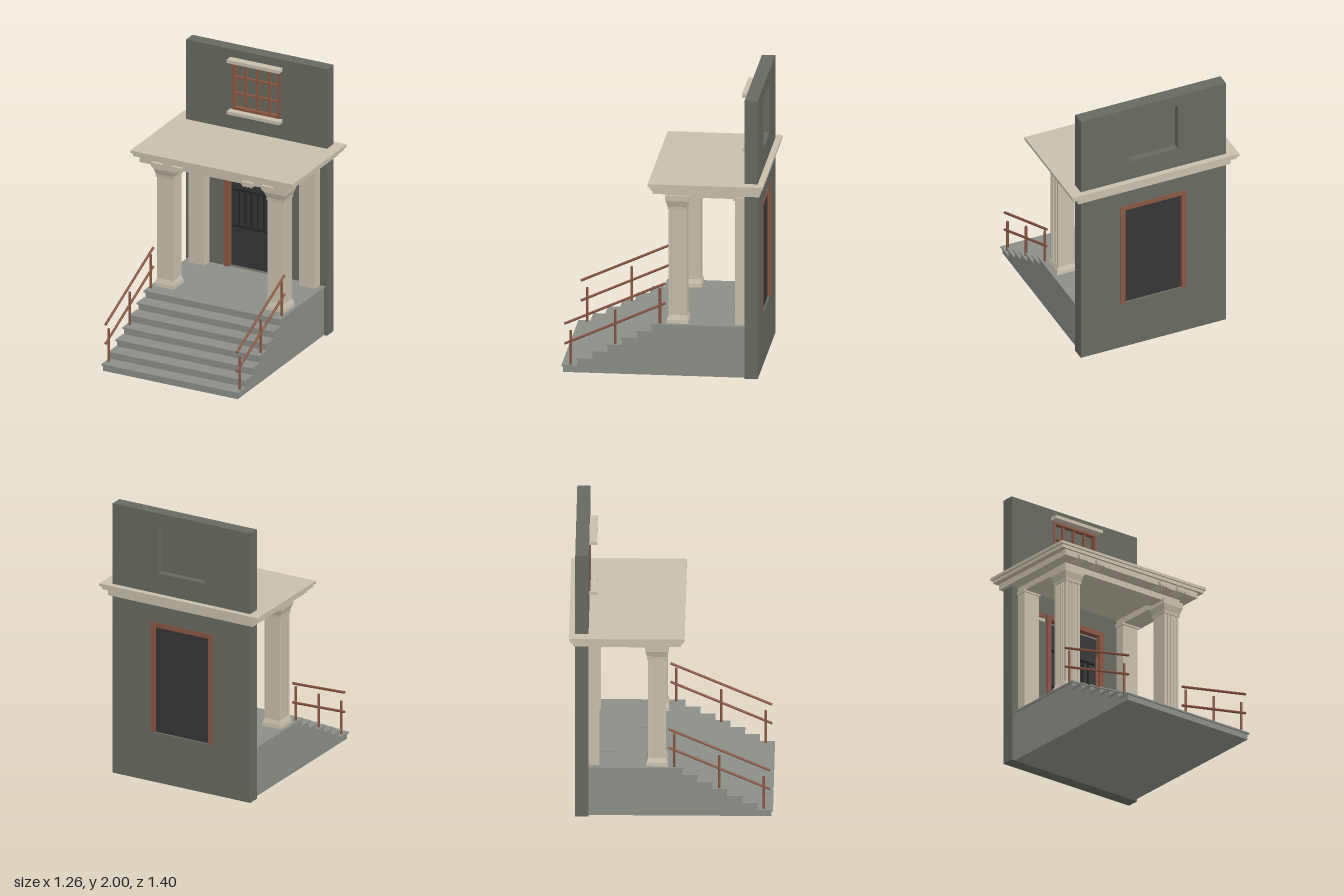
import * as THREE from 'three';

const mat = (name, color) => {
  const m = new THREE.MeshStandardMaterial({ color });
  m.name = name;
  return m;
};

export function createModel() {
  const root = new THREE.Group();
  const wallGrey = mat('wall grey', 0x686a60);
  const cream = mat('cream stone', 0xc8c0ae);
  const stone = mat('step stone', 0x8b8f87);
  const brown = mat('brown trim', 0x8a5644);
  const dark = mat('door charcoal', 0x363636);
  const black = mat('grille black', 0x242424);

  const add = (name, geo, material, parent = root) => {
    const m = new THREE.Mesh(geo, material);
    m.name = name;
    parent.add(m);
    return m;
  };
  // Box given by its minimum and maximum along each axis
  const box = (name, material, x0, x1, y0, y1, z0, z1, parent) => {
    const g = new THREE.BoxGeometry(x1 - x0, y1 - y0, z1 - z0);
    g.translate((x0 + x1) / 2, (y0 + y1) / 2, (z0 + z1) / 2);
    return add(name, g, material, parent);
  };
  // Square block with sloping sides
  const taper = (name, material, wTop, wBottom, y0, y1, x, z) => {
    let g = new THREE.CylinderGeometry(wTop * Math.SQRT1_2, wBottom * Math.SQRT1_2, y1 - y0, 4, 1);
    g.rotateY(Math.PI / 4);
    g = g.toNonIndexed();
    g.computeVertexNormals();
    g.translate(x, (y0 + y1) / 2, z);
    return add(name, g, material);
  };
  const rod = (name, material, a, b, r) => {
    const g = new THREE.CylinderGeometry(r, r, a.distanceTo(b), 10);
    const m = add(name, g, material);
    m.position.copy(a).add(b).multiplyScalar(0.5);
    m.quaternion.setFromUnitVectors(new THREE.Vector3(0, 1, 0), b.clone().sub(a).normalize());
  };
  const rectPath = (P, x0, x1, y0, y1) => {
    const p = new P();
    p.moveTo(x0, y0); p.lineTo(x1, y0); p.lineTo(x1, y1); p.lineTo(x0, y1); p.closePath();
    return p;
  };
  // Rectangular frame in the xy plane
  const frame = (name, material, x, y0, y1, t, z0, z1, sill) => {
    box(name, material, -x, -x + t, y0, y1, z0, z1);
    box(name, material, x - t, x, y0, y1, z0, z1);
    box(name, material, -x + t, x - t, y1 - t, y1, z0, z1);
    if (sill) box(name, material, -x + t, x - t, y0, y0 + t, z0, z1);
  };

  // Wall with door and window openings
  const wall = rectPath(THREE.Shape, -0.55, 0.55, 0, 2);
  wall.holes.push(rectPath(THREE.Path, -0.248, 0.248, 0.368, 1.187));
  wall.holes.push(rectPath(THREE.Path, -0.185, 0.185, 1.555, 1.912));
  const wallGeo = new THREE.ExtrudeGeometry(wall, { depth: 0.092, bevelEnabled: false });
  wallGeo.translate(0, 0, -0.66);
  add('wall', wallGeo, wallGrey);

  // Steps: stair body, then jointed tread slabs with a small nosing
  const rise = 0.0526, run = 0.1025, front = 0.702, steps = 7;
  const profile = new THREE.Shape();
  profile.moveTo(0.568, 0);
  for (let i = 0; i < steps; i++) {
    const z = -(front - 0.01 - i * run);
    profile.lineTo(z, i * rise);
    profile.lineTo(z, (i + 1) * rise - 0.012);
  }
  profile.lineTo(0.568, steps * rise - 0.012);
  const first = profile.curves.shift();
  if (first.v1.distanceTo(first.v2) > 0) profile.curves.unshift(first);
  const stairGeo = new THREE.ExtrudeGeometry(profile, { depth: 1.05, bevelEnabled: false });
  stairGeo.rotateY(Math.PI / 2);
  stairGeo.translate(-0.525, 0, 0);
  add('stairBody', stairGeo, stone);
  for (let i = 0; i < steps; i++) {
    const z1 = front - i * run;
    const z0 = i === steps - 1 ? -0.568 : z1 - run - 0.01;
    const y1 = (i + 1) * rise;
    const cuts = i % 2 ? [-0.535, -0.24, 0.135, 0.535] : [-0.535, -0.285, 0.092, 0.535];
    for (let k = 0; k < 3; k++) {
      box('tread', stone, cuts[k] + (k ? 0.0008 : 0), cuts[k + 1] - (k < 2 ? 0.0008 : 0), y1 - 0.012, y1, z0, z1);
    }
  }
  const floor = steps * rise;

  // Porch roof: stepped cornice, then beams underneath
  box('roofSlab', cream, -0.632, 0.632, 1.383, 1.403, -0.702, 0.094);
  box('upperCornice', cream, -0.617, 0.617, 1.36, 1.383, -0.69, 0.083);
  box('lowerCornice', cream, -0.577, 0.577, 1.318, 1.36, -0.675, 0.067);
  box('frontBeam', cream, -0.5, 0.5, 1.275, 1.318, -0.163, -0.033);
  for (const s of [-1, 1]) {
    const x = s * 0.432;
    box('sideBeam', cream, x - 0.063, x + 0.063, 1.275, 1.318, -0.568, -0.163);
    // Scalloped brackets
    for (const bx of [0.277, 0.43]) {
      box('bracket', cream, s * bx - 0.043, s * bx + 0.043, 1.318, 1.345, -0.01, 0.09);
      for (const d of [-0.028, 0, 0.028]) {
        const g = new THREE.CylinderGeometry(0.013, 0.013, 0.098, 12);
        g.rotateX(Math.PI / 2);
        g.translate(s * bx + d, 1.32, 0.04);
        add('bracketScallop', g, cream);
      }
    }
  }

  // Square columns, fluted on the front and outer faces
  const half = 0.0625, colZ = -0.098, flutes = 4, gw = 0.006, gd = 0.009;
  for (const s of [-1, 1]) {
    const x = s * 0.432;
    const pts = [[-half, -half], [half, -half]];
    const at = (k) => -half + (2 * half * (k + 1)) / (flutes + 1);
    for (let k = 0; k < flutes; k++) {
      const c = at(k);
      pts.push([half, c - gw], [half - gd, c - gw], [half - gd, c + gw], [half, c + gw]);
    }
    pts.push([half, half]);
    for (let k = flutes - 1; k >= 0; k--) {
      const c = at(k);
      pts.push([c + gw, half], [c + gw, half - gd], [c - gw, half - gd], [c - gw, half]);
    }
    pts.push([-half, half]);
    const shape = new THREE.Shape(pts.map(([px, pz]) => new THREE.Vector2(s * px, -pz)));
    const g = new THREE.ExtrudeGeometry(shape, { depth: 0.79, bevelEnabled: false });
    g.rotateX(-Math.PI / 2);
    g.translate(x, 0.405, colZ);
    add('columnShaft', g, cream);
    taper('columnBase', cream, 0.146, 0.15, floor, 0.393, x, colZ);
    taper('columnBaseFlare', cream, 0.126, 0.146, 0.393, 0.425, x, colZ);
    taper('columnNeck', cream, 0.138, 0.134, 1.185, 1.205, x, colZ);
    taper('capitalFlare', cream, 0.163, 0.134, 1.205, 1.25, x, colZ);
    taper('capital', cream, 0.165, 0.165, 1.25, 1.29, x, colZ);
    // Plain pilaster against the wall
    box('pilaster', cream, x - half, x + half, floor, 1.275, -0.568, -0.495);
    box('pilasterCap', cream, x - half - 0.008, x + half + 0.008, 1.262, 1.287, -0.568, -0.485);
  }

  // Door with frame and grille
  frame('doorFrame', brown, 0.248, floor, 1.187, 0.035, -0.664, -0.555, false);
  box('door', dark, -0.214, 0.214, floor, 1.153, -0.645, -0.6);
  box('doorHeadStrip', stone, -0.213, 0.213, 1.14, 1.148, -0.6, -0.594);
  for (const y of [0.672, 0.943]) box('grilleRail', black, -0.197, 0.192, y - 0.006, y + 0.006, -0.6, -0.583);
  for (let i = -3; i <= 3; i++) {
    box('grilleBar', black, i * 0.048 - 0.008, i * 0.048 - 0.001, 0.672, 0.943, -0.6, -0.587);
  }

  // Small plaque beside the door
  box('plaqueTop', brown, -0.37, -0.268, 1.152, 1.187, -0.568, -0.556);
  box('plaqueBottom', cream, -0.37, -0.268, 1.122, 1.147, -0.568, -0.556);

  // Window with glazing bars, lintel and sill
  box('windowPane', wallGrey, -0.185, 0.185, 1.555, 1.912, -0.612, -0.595);
  frame('windowFrame', brown, 0.186, 1.554, 1.914, 0.018, -0.597, -0.56, true);
  for (const x of [-0.092, 0, 0.092]) box('windowBar', brown, x - 0.006, x + 0.006, 1.56, 1.9, -0.596, -0.572);
  for (const y of [1.672, 1.793]) box('windowBar', brown, -0.17, 0.17, y - 0.006, y + 0.006, -0.596, -0.572);
  box('windowLintel', cream, -0.204, 0.204, 1.915, 1.94, -0.575, -0.512);
  box('windowSill', cream, -0.204, 0.204, 1.53, 1.554, -0.575, -0.512);

  // Handrails
  const v = (x, y, z) => new THREE.Vector3(x, y, z);
  for (const x of [-0.512, 0.512]) {
    rod('topRail', brown, v(x, 0.345, 0.682), v(x, 0.657, -0.016), 0.009);
    rod('lowerRail', brown, v(x, 0.201, 0.682), v(x, 0.515, -0.016), 0.009);
    for (const [z, y0, y1] of [[0.638, 0.05, 0.298], [0.331, 0.208, 0.457], [0.021, 0.366, 0.62]]) {
      rod('railPost', brown, v(x, y0, z), v(x, y1, z), 0.009);
    }
  }
  return root;
}
